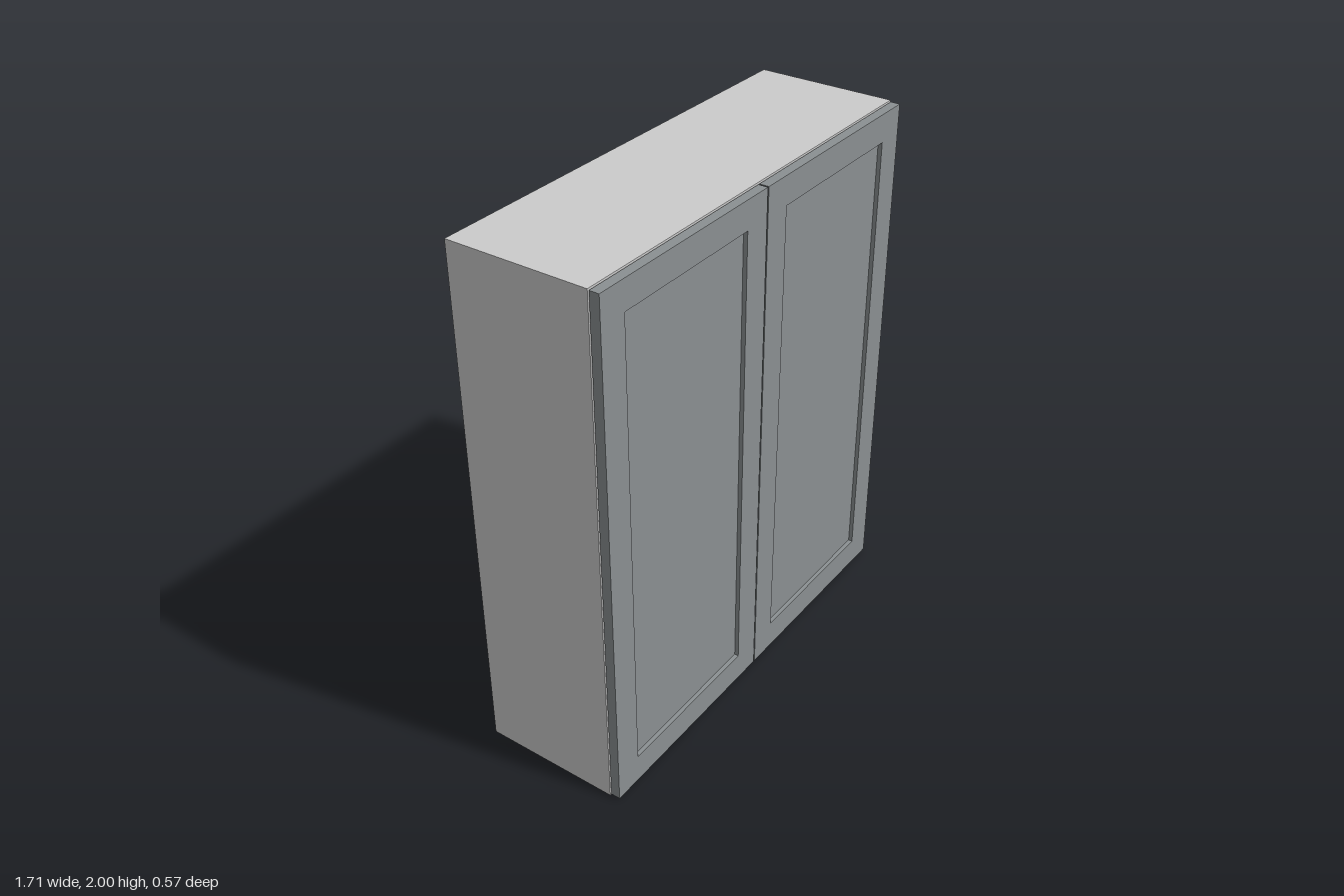
import * as THREE from 'three';

const carcassMat = new THREE.MeshStandardMaterial({ color: 0xcccccc });
const doorMat = new THREE.MeshStandardMaterial({ color: 0x8b9092 });

// Box given by its minimum and maximum corners
function panel(name, material, [x0, y0, z0], [x1, y1, z1]) {
  const mesh = new THREE.Mesh(new THREE.BoxGeometry(x1 - x0, y1 - y0, z1 - z0), material);
  mesh.position.set((x0 + x1) / 2, (y0 + y1) / 2, (z0 + z1) / 2);
  mesh.name = name;
  return mesh;
}

function rectangle(target, x0, y0, x1, y1) {
  target.moveTo(x0, y0);
  target.lineTo(x1, y0);
  target.lineTo(x1, y1);
  target.lineTo(x0, y1);
  target.closePath();
  return target;
}

const W = 0.853, H = 2, T = 0.03; // half width, height, board thickness
const BACK = -0.285, FRONT = 0.246; // carcass depth
const DOOR_BACK = 0.249, DOOR_FRONT = 0.285;

function createCarcass() {
  const carcass = new THREE.Group();
  carcass.name = 'carcass';
  const inner = W - T, backFace = BACK + 0.005;
  carcass.add(
    panel('rightSide', carcassMat, [-W, 0, backFace], [-inner, H, FRONT]),
    panel('leftSide', carcassMat, [inner, 0, backFace], [W, H, FRONT]),
    panel('backPanel', carcassMat, [-W, 0, BACK], [W, H, backFace])
  );
  // Bottom, middle shelf and top between the sides
  for (const [name, y] of [['bottom', 0], ['shelf', H / 2 - T / 2], ['top', H - T]]) {
    carcass.add(panel(name, carcassMat, [-inner, y, backFace], [inner, y + T, FRONT]));
  }
  return carcass;
}

// Framed door with a recessed centre panel; side is +1 (left) or -1 (right)
function createDoor(side) {
  const door = new THREE.Group();
  door.name = side > 0 ? 'leftDoor' : 'rightDoor';
  const span = (a, b) => (side > 0 ? [a, b] : [-b, -a]);
  const [x0, x1] = span(0.003, 0.85);
  const [p0, p1] = span(0.113, 0.74);
  const y0 = 0.006, y1 = 1.995, q0 = 0.117, q1 = 1.888;

  const shape = rectangle(new THREE.Shape(), x0, y0, x1, y1);
  shape.holes.push(rectangle(new THREE.Path(), p0, q0, p1, q1));
  const frame = new THREE.Mesh(
    new THREE.ExtrudeGeometry(shape, { depth: DOOR_FRONT - DOOR_BACK, bevelEnabled: false }),
    doorMat
  );
  frame.position.z = DOOR_BACK;
  frame.name = 'doorFrame';
  door.add(frame, panel('doorPanel', doorMat, [p0, q0, DOOR_BACK + 0.004], [p1, q1, DOOR_FRONT - 0.016]));
  return door;
}

export function createModel() {
  const model = new THREE.Group();
  model.name = 'wallCabinet';
  model.add(createCarcass(), createDoor(1), createDoor(-1));
  return model;
}
